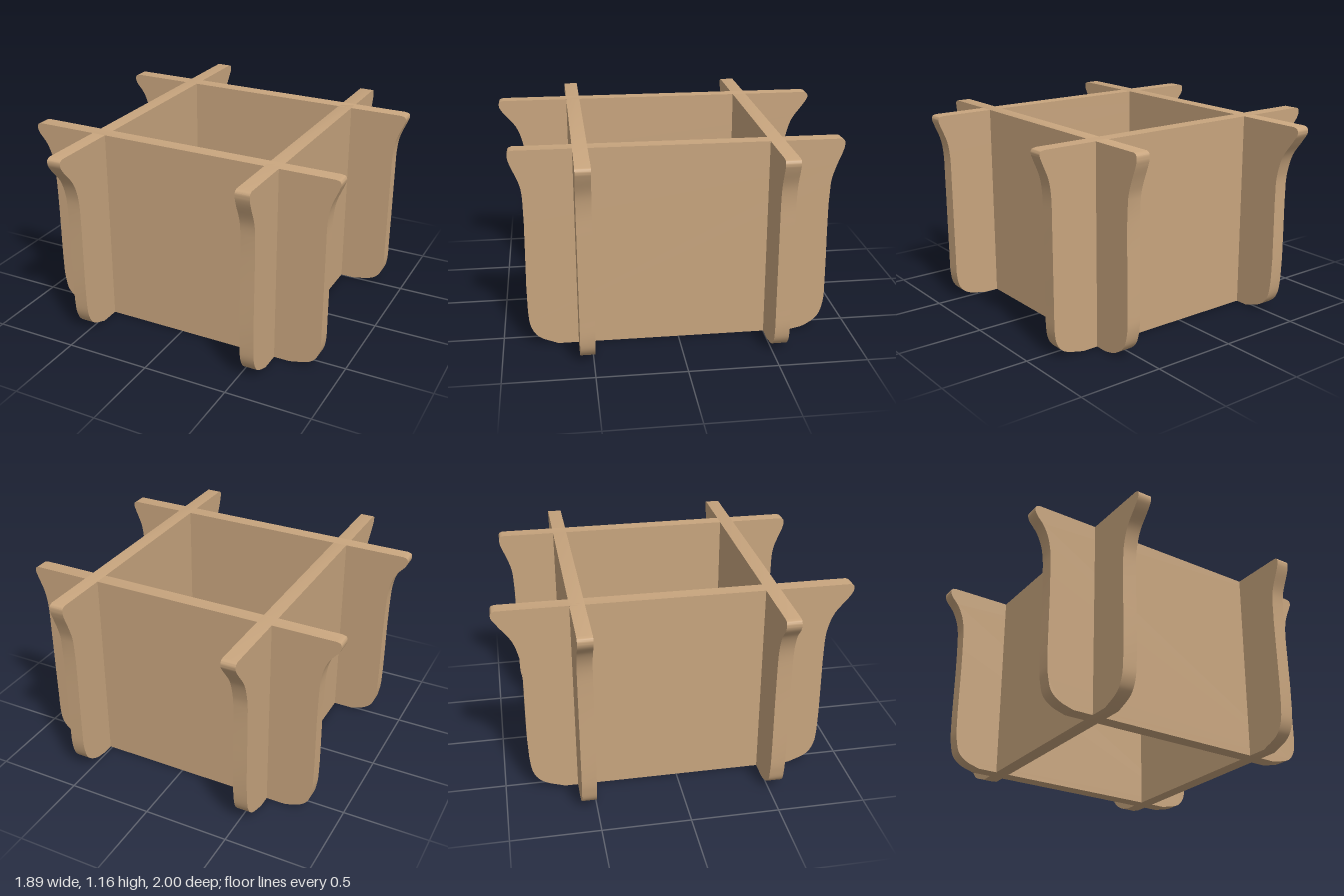
import * as THREE from 'three';
import { toCreasedNormals } from 'three/addons/utils/BufferGeometryUtils.js';

const THICKNESS = 0.083;

// Smooth edge line through [across, height] points
function smoothEdge(points) {
  const curve = new THREE.CatmullRomCurve3(
    points.map(([a, h]) => new THREE.Vector3(a, h, 0)), false, 'centripetal');
  return curve.getPoints((points.length - 1) * 4).map((p) => new THREE.Vector2(p.x, p.y));
}

// Flat board with a flared end on each side, centred on its thickness
function boardGeometry(plusEnd, minusEnd) {
  const outline = [...smoothEdge(plusEnd), ...smoothEdge(minusEnd).reverse()];
  const geometry = new THREE.ExtrudeGeometry(new THREE.Shape(outline), {
    depth: THICKNESS, bevelEnabled: false,
  });
  geometry.translate(0, 0, -THICKNESS / 2);
  return toCreasedNormals(geometry, 0.6);
}

// Edge profiles, each from the base up to the top lip
const crossPlus = [
  [0.69, 0], [0.815, 0.035], [0.856, 0.08], [0.872, 0.14], [0.875, 0.3], [0.876, 0.75],
  [0.878, 0.91], [0.892, 1.0], [0.932, 1.1], [0.941, 1.13], [0.935, 1.149], [0.91, 1.156],
];
const crossMinus = [
  [-0.675, 0], [-0.76, 0.03], [-0.81, 0.075], [-0.828, 0.14], [-0.836, 0.21], [-0.838, 0.75],
  [-0.85, 0.94], [-0.886, 1.035], [-0.937, 1.1], [-0.945, 1.13], [-0.938, 1.149], [-0.915, 1.156],
];
const longPlus = [
  [0.69, 0], [0.8, 0.05], [0.84, 0.115], [0.854, 0.22], [0.855, 0.8], [0.865, 0.89],
  [0.9, 0.985], [0.97, 1.07], [0.998, 1.115], [0.997, 1.145], [0.975, 1.156],
];
const longMinus = [
  [-0.66, 0], [-0.78, 0.045], [-0.83, 0.1], [-0.854, 0.22], [-0.857, 0.8], [-0.866, 0.87],
  [-0.9, 0.975], [-0.965, 1.065], [-1, 1.12], [-0.995, 1.147], [-0.975, 1.156],
];
const shortPlus = [
  [0.69, 0], [0.8, 0.05], [0.84, 0.115], [0.853, 0.22], [0.85, 0.88], [0.862, 0.965],
  [0.908, 1.08], [0.918, 1.12], [0.915, 1.146], [0.895, 1.156],
];
const shortMinus = [
  [-0.66, 0], [-0.74, 0.02], [-0.82, 0.08], [-0.85, 0.17], [-0.854, 0.3], [-0.854, 0.9],
  [-0.877, 0.99], [-0.915, 1.09], [-0.921, 1.12], [-0.917, 1.146], [-0.9, 1.156],
];

export function createModel() {
  const model = new THREE.Group();
  model.name = 'interlockingFrame';
  const wood = new THREE.MeshStandardMaterial({ color: 0xc8a57e });
  wood.name = 'lightWood';

  // Two matching boards running left to right
  const crossGeometry = boardGeometry(crossPlus, crossMinus);
  for (const [name, z] of [['frontBoard', 0.533], ['backBoard', -0.543]]) {
    const board = new THREE.Mesh(crossGeometry, wood);
    board.name = name;
    board.position.z = z;
    model.add(board);
  }

  // Two boards running front to back, one longer at its flare
  for (const [name, x, plus, minus] of [
    ['rightBoard', -0.517, longPlus, longMinus],
    ['leftBoard', 0.555, shortPlus, shortMinus],
  ]) {
    const board = new THREE.Mesh(boardGeometry(plus, minus), wood);
    board.name = name;
    board.rotation.y = -Math.PI / 2;
    board.position.x = x;
    model.add(board);
  }
  return model;
}
